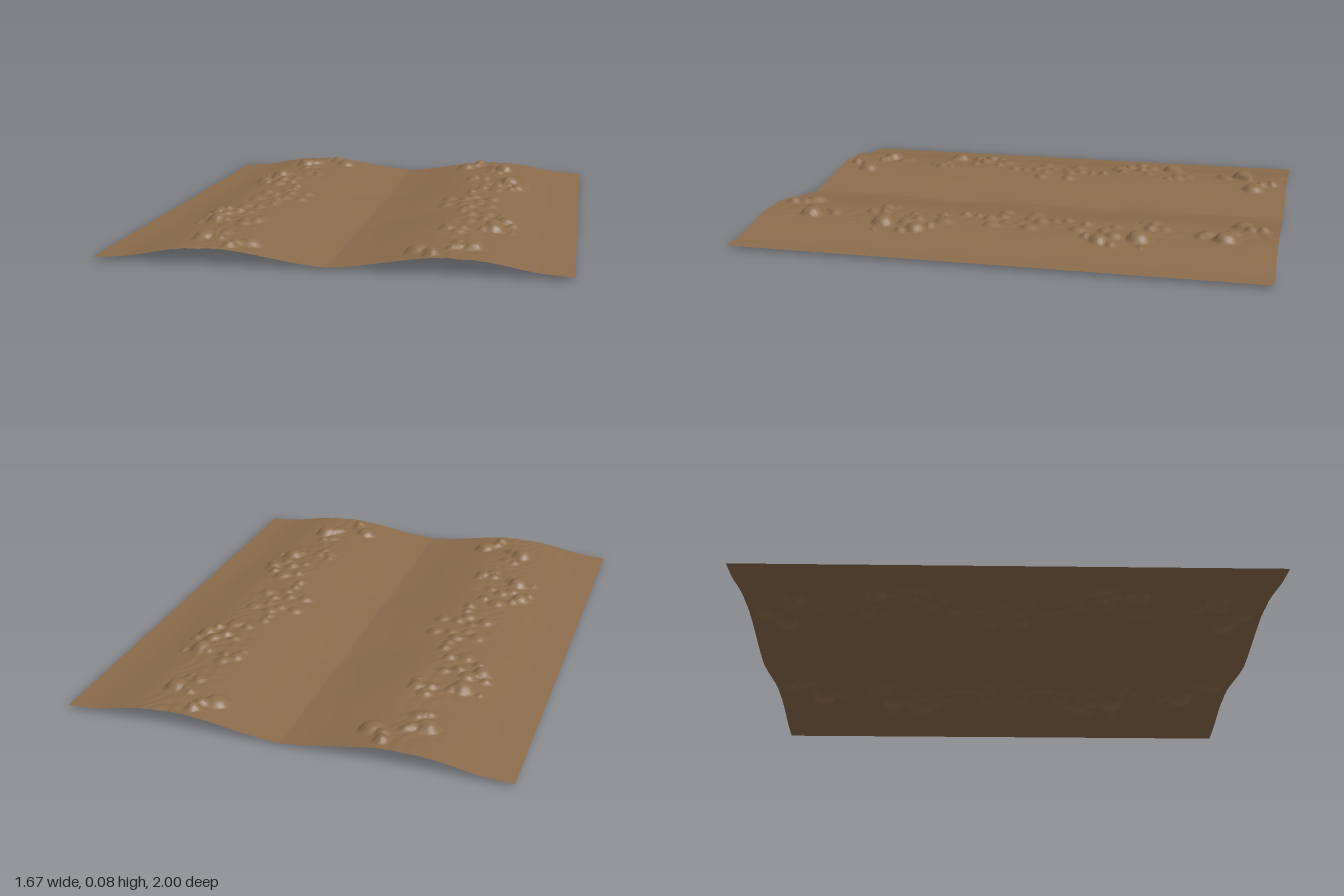
import * as THREE from 'three';

const HALF_W = 0.825, HALF_D = 0.9897, TURN = 0.0125;

// Cross-section of one half of the sheet: distance from the centre line, height
const PROFILE = [
  [0, 0.008], [0.1, 0.019], [0.2, 0.036], [0.3, 0.051], [0.36, 0.056], [0.45, 0.054],
  [0.54, 0.048], [0.6, 0.039], [0.66, 0.027], [0.72, 0.018], [0.83, 0.011],
];

// Clods of one quarter: x, z, radius, height (mirrored to the other three)
const CLODS = [
  [0.476, 0.80, 0.042, 0.029], [0.43, 0.815, 0.025, 0.018], [0.29, 0.855, 0.042, 0.023],
  [0.35, 0.93, 0.025, 0.02], [0.34, 0.885, 0.025, 0.018], [0.41, 0.83, 0.02, 0.014],
  [0.42, 0.73, 0.028, 0.014], [0.46, 0.71, 0.022, 0.013], [0.525, 0.49, 0.042, 0.029],
  [0.49, 0.51, 0.022, 0.016], [0.36, 0.53, 0.03, 0.016], [0.41, 0.52, 0.024, 0.015],
  [0.40, 0.57, 0.026, 0.013], [0.35, 0.49, 0.018, 0.012], [0.565, 0.35, 0.034, 0.022],
  [0.52, 0.40, 0.03, 0.016], [0.48, 0.36, 0.026, 0.016], [0.43, 0.39, 0.022, 0.012],
  [0.54, 0.30, 0.022, 0.016], [0.59, 0.40, 0.02, 0.013], [0.48, 0.26, 0.034, 0.015],
  [0.42, 0.28, 0.024, 0.015], [0.38, 0.20, 0.022, 0.014], [0.38, 0.15, 0.018, 0.011],
  [0.48, 0.075, 0.032, 0.014], [0.40, 0.10, 0.028, 0.013], [0.37, 0.055, 0.024, 0.014],
  [0.30, 0.06, 0.028, 0.014], [0.43, 0.03, 0.02, 0.01], [0.592, 0.505, 0.01, 0.014],
];

// Smoothly interpolated ridge profile
function profileHeight(x) {
  let i = 0;
  while (i < PROFILE.length - 2 && x > PROFILE[i + 1][0]) i++;
  const [x0, y0] = PROFILE[i], [x1, y1] = PROFILE[i + 1];
  return THREE.MathUtils.lerp(y0, y1, (x - x0) / (x1 - x0));
}

function groundHeight(x, z) {
  const ax = Math.abs(x), az = Math.abs(z);
  // Average neighbouring samples to round off the profile's corners
  let y = 0;
  for (const d of [-0.03, -0.01, 0.01, 0.03]) y += profileHeight(Math.max(0, ax + d * Math.min(1, ax / 0.05))) / 4;
  // Low swells along the ridges, and a shallow dip in the trough
  const ridge = Math.sin(Math.min(1, ax / 0.75) * Math.PI);
  y += 0.003 * ridge * Math.cos(az * 9 + ax * 7);
  y -= 0.008 * Math.exp(-(((az - 0.31) / 0.12) ** 2) - (ax / 0.12) ** 2);
  // Crumbly texture and rounded clods along the ridge
  const rough = Math.exp(-(((ax - 0.45) / 0.1) ** 4));
  y += 0.0022 * rough * Math.sin(ax * 71 + 3 * Math.sin(az * 23)) * Math.sin(az * 58 + 2 * Math.sin(ax * 31));
  let clod = 0;
  for (const [cx, cz, r, h] of CLODS) {
    const q = ((ax - cx) ** 2 + (az - cz) ** 2) / (r * r);
    if (q < 1) clod = Math.max(clod, h * Math.sqrt(1 - q));
  }
  return y + clod;
}

export function createModel() {
  const group = new THREE.Group();
  group.name = 'ridgedSoil';
  const soil = new THREE.MeshStandardMaterial({ color: 0x8c6c4c, side: THREE.DoubleSide });
  soil.name = 'soilBrown';

  // One flat sheet, raised by the height rule and turned slightly
  const geometry = new THREE.PlaneGeometry(HALF_W * 2, HALF_D * 2, 180, 216);
  geometry.rotateX(-Math.PI / 2);
  const p = geometry.attributes.position;
  for (let i = 0; i < p.count; i++) {
    const x = p.getX(i), z = p.getZ(i);
    p.setXYZ(i, x + TURN * z, groundHeight(x, z), z - TURN * x);
  }
  geometry.computeVertexNormals();
  geometry.computeBoundingBox();
  geometry.translate(0, -geometry.boundingBox.min.y, 0);

  const ground = new THREE.Mesh(geometry, soil);
  ground.name = 'groundSheet';
  group.add(ground);
  return group;
}
